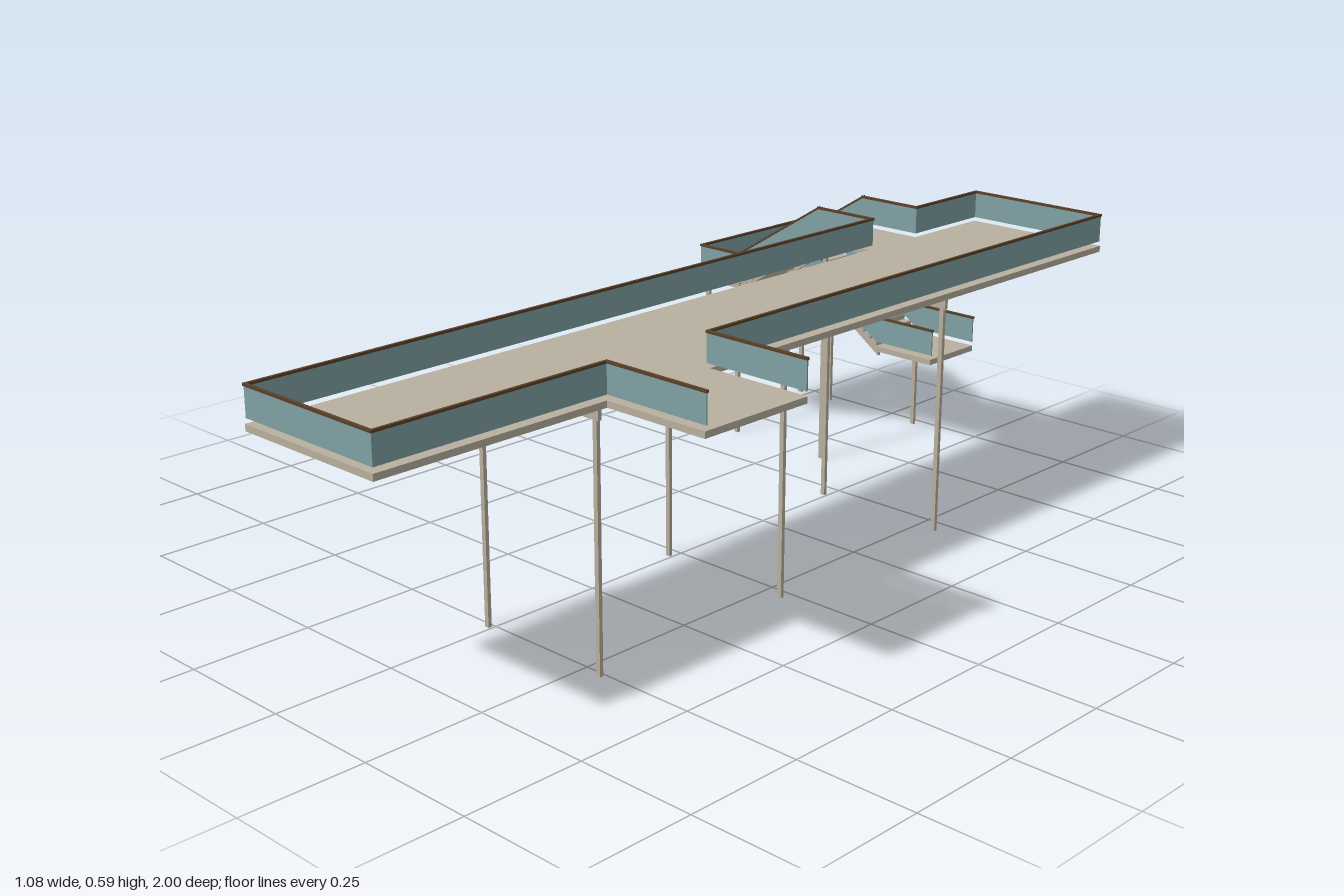
import * as THREE from 'three';

const mat = (name, color) => {
  const m = new THREE.MeshStandardMaterial({ color });
  m.name = name;
  return m;
};

export function createModel() {
  const concrete = mat('concrete', 0xb8b09e);
  const panelTeal = mat('panelTeal', 0x7fa0a4);
  const railBrown = mat('railBrown', 0x5a4028);
  const root = new THREE.Group();
  root.name = 'raisedWalkway';

  const add = (geo, material, name, parent = root) => {
    const mesh = new THREE.Mesh(geo, material);
    mesh.name = name;
    parent.add(mesh);
    return mesh;
  };

  // Box given by its extents
  const box = (name, x0, x1, y0, y1, z0, z1, parent) => {
    const geo = new THREE.BoxGeometry(x1 - x0, y1 - y0, z1 - z0);
    geo.translate((x0 + x1) / 2, (y0 + y1) / 2, (z0 + z1) / 2);
    return add(geo, concrete, name, parent);
  };

  // Upright bar between two points, sheared so its ends stay vertical;
  // lo and hi are heights relative to the points
  const bar = (a, b, lo, hi, thick) => {
    const dx = b[0] - a[0], dy = b[1] - a[1], dz = b[2] - a[2];
    const len = Math.hypot(dx, dz);
    const geo = new THREE.BoxGeometry(len + thick, hi - lo, thick);
    const p = geo.attributes.position;
    for (let i = 0; i < p.count; i++) p.setY(i, p.getY(i) + (dy * p.getX(i)) / len);
    geo.computeVertexNormals();
    geo.rotateY(Math.atan2(-dz, dx));
    geo.translate((a[0] + b[0]) / 2, (a[1] + b[1]) / 2 + (lo + hi) / 2, (a[2] + b[2]) / 2);
    return geo;
  };

  // Railing along a path on the deck: floating panel with a handrail on top
  const railing = (name, path) => {
    const g = new THREE.Group();
    g.name = name;
    root.add(g);
    for (let i = 0; i + 1 < path.length; i++) {
      add(bar(path[i], path[i + 1], 0.01, 0.067, 0.003), panelTeal, 'panel', g);
      add(bar(path[i], path[i + 1], 0.066, 0.071, 0.006), railBrown, 'handrail', g);
    }
  };

  const TOP = 0.52, MID = 0.373, LOW = 0.222, SLAB = 0.013;
  const xL = -0.03, xR = 0.31, xEnd = 0.54;

  // Decks and landings
  box('mainDeck', xL, xR, TOP - SLAB, TOP, -1, 1);
  box('sideDeck', xR, xEnd, TOP - SLAB, TOP, 0.245, 0.5);
  box('upperLanding', -0.195, xL, TOP - SLAB, TOP, -0.78, -0.62);
  box('middleLanding', -0.54, -0.415, MID - SLAB, MID, -1, -0.62);
  box('middleLandingLip', -0.415, -0.4, MID - SLAB, MID, -1, -0.84);
  box('lowerLanding', -0.18, -0.02, LOW - SLAB, LOW, -1, -0.84);

  // Stair flights: stepped blocks with a stringer on each side
  const flight = (name, x0, yStart, yEnd, z0, z1) => {
    const g = new THREE.Group();
    g.name = name;
    root.add(g);
    const n = 11, run = 0.02, rise = (yEnd - yStart) / (n + 1), h = Math.abs(rise);
    for (let i = 0; i < n; i++) {
      const top = yStart + rise * (i + 1), x = x0 + run * i;
      box('step', x, x + run, top - h, top, z0 + 0.002, z1 - 0.002, g);
    }
    for (const z of [z0 + 0.008, z1 - 0.008]) {
      const a = [x0, yStart, z], b = [x0 + n * run, yEnd, z];
      add(bar(a, b, -0.021, -0.004, 0.008), concrete, 'stringer', g);
    }
  };
  flight('upperFlight', -0.415, MID, TOP, -0.78, -0.62);
  flight('lowerFlight', -0.4, MID, LOW, -1, -0.84);

  // Posts and cross beams below the main deck
  const post = (x, z, top) => box('post', x - 0.005, x + 0.005, 0, top, z - 0.004, z + 0.004);
  for (const z of [0.51, 0.025, -0.46]) {
    box('crossBeam', -0.025, 0.302, 0.484, TOP - SLAB, z - 0.004, z + 0.004);
    for (const x of [-0.01, 0.293]) post(x, z, 0.485);
  }

  // Posts below the stair landings
  for (const z of [-0.635, -0.975]) {
    for (const x of [-0.525, -0.43]) post(x, z, MID - SLAB);
    post(-0.167, z, (z > -0.8 ? TOP : LOW) - SLAB);
  }

  // Railings: open at the side deck end and the lower landing end
  const e = 0.003;
  railing('frontRailing', [
    [xEnd, TOP, 0.5 - e], [xR - e, TOP, 0.5 - e], [xR - e, TOP, 1 - e], [xL + e, TOP, 1 - e],
    [xL + e, TOP, -0.62 - e], [-0.18, TOP, -0.62 - e], [-0.418, MID, -0.62 - e],
    [-0.54 + e, MID, -0.62 - e], [-0.54 + e, MID, -1 + e], [-0.418, MID, -1 + e],
    [-0.18, LOW, -1 + e], [-0.02, LOW, -1 + e],
  ]);
  railing('backRailing', [
    [xEnd, TOP, 0.245 + e], [xR - e, TOP, 0.245 + e], [xR - e, TOP, -1 + e], [xL + e, TOP, -1 + e],
    [xL + e, TOP, -0.78 + e], [-0.18, TOP, -0.78 + e], [-0.418, MID, -0.78 + e],
    [-0.418, MID, -0.84 - e], [-0.18, LOW, -0.84 - e], [-0.02, LOW, -0.84 - e],
  ]);

  return root;
}
